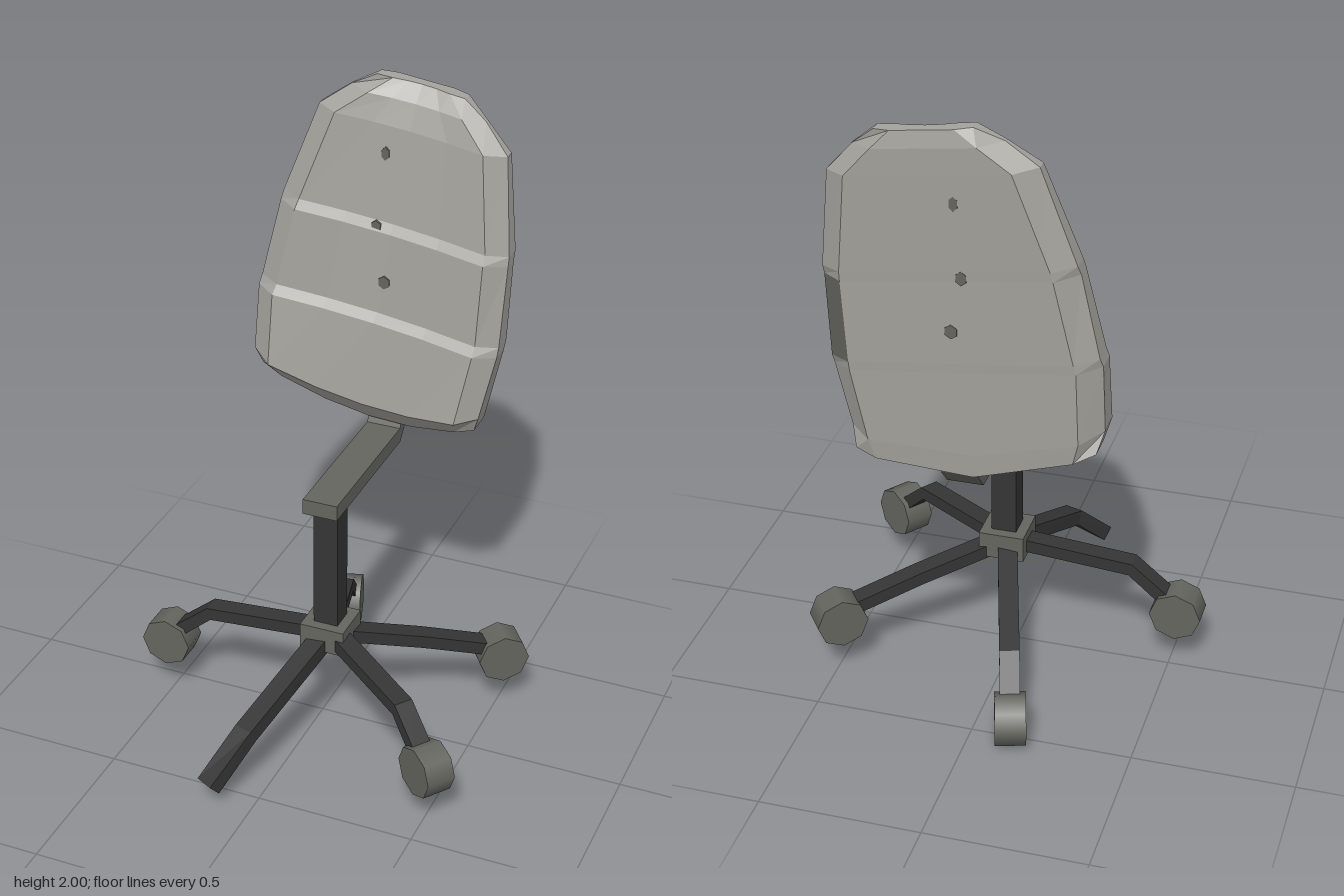
import * as THREE from 'three';

const V = (x, y, z) => new THREE.Vector3(x, y, z);
const mat = (name, color, side = THREE.FrontSide) => {
  const m = new THREE.MeshStandardMaterial({ color, side });
  m.name = name;
  return m;
};

// Rectangular bar swept along a short path, mitred at the bends
function barGeometry(points, width, height) {
  const n = points.length - 1;
  const geo = new THREE.BoxGeometry(1, 1, 1, 1, 1, n);
  const pos = geo.attributes.position;
  const frames = points.map((p, i) => {
    const dir = points[Math.min(i + 1, n)].clone().sub(points[Math.max(i - 1, 0)]).normalize();
    const side = V(0, 1, 0).cross(dir).normalize();
    return { p, side, up: dir.clone().cross(side) };
  });
  for (let i = 0; i < pos.count; i++) {
    const f = frames[Math.round((pos.getZ(i) + 0.5) * n)];
    const q = f.p.clone()
      .addScaledVector(f.side, pos.getX(i) * width)
      .addScaledVector(f.up, pos.getY(i) * height);
    pos.setXYZ(i, q.x, q.y, q.z);
  }
  const flat = geo.toNonIndexed();
  flat.computeVertexNormals();
  return flat;
}

// Cushion rows from bottom to top: height, left x, right x, sag, front z, back z, rim depth
const ROWS = [
  [0.97, -0.365, 0.355, 0.08, -0.355, -0.475, 0.015],
  [1.03, -0.382, 0.375, 0.065, -0.29, -0.482, 0.055],
  [1.245, -0.377, 0.418, 0, -0.318, -0.497, 0.055],
  [1.275, -0.37, 0.42, 0, -0.338, -0.5, 0.045],
  [1.54, -0.315, 0.43, 0, -0.355, -0.517, 0.055],
  [1.57, -0.308, 0.43, 0, -0.372, -0.52, 0.045],
  [1.87, -0.205, 0.4, 0, -0.405, -0.54, 0.05],
  [1.95, -0.11, 0.32, 0, -0.43, -0.545, 0.05],
  [2.0, -0.03, 0.25, 0, -0.47, -0.537, 0.015],
];
const TILT = 0.13;

// Closed cross-section of the cushion: front left to right, then back right to left
function cushionLoop([v, xl, xr, sag, zf, zb, rim]) {
  const mid = (xl + xr) / 2, half = (xr - xl) / 2;
  const inset = Math.min(0.065, half * 0.35);
  const a = xl + inset, b = xr - inset;
  const at = (x, z, hollow = 0) => {
    const k = 1 - ((x - mid) / half) ** 2;
    return V(x, v - TILT * x - sag * k, z - hollow * k);
  };
  const front = [0, 0.25, 0.5, 0.75, 1].map((t) => at(a + (b - a) * t, zf, 0.03));
  return [
    at(xl, zf - rim), ...front, at(xr, zf - rim),
    at(xr, zb + rim), at(b, zb), at(mid, zb), at(a, zb), at(xl, zb + rim),
  ];
}

function cushionGeometry() {
  const loops = ROWS.map(cushionLoop);
  const n = loops[0].length, main = [], trim = [];
  for (let i = 0; i < loops.length - 1; i++) {
    for (let j = 0; j < n; j++) {
      const k = (j + 1) % n;
      const a = loops[i][j], b = loops[i][k], c = loops[i + 1][k], d = loops[i + 1][j];
      // a stretch of bare shell shows on the rear left edge
      (j === 7 && i === 3 ? trim : main).push(a, b, c, a, c, d);
    }
  }
  const cap = (loop, flip) => {
    const c = loop.reduce((s, p) => s.add(p), V(0, 0, 0)).divideScalar(n);
    loop.forEach((p, j) => {
      const q = loop[(j + 1) % n];
      main.push(...(flip ? [c, q, p] : [c, p, q]));
    });
  };
  cap(loops[0], true);
  cap(loops[loops.length - 1], false);
  const geo = new THREE.BufferGeometry().setFromPoints([...main, ...trim]);
  geo.addGroup(0, main.length, 0);
  geo.addGroup(main.length, trim.length, 1);
  geo.computeVertexNormals();
  return geo;
}

export function createModel() {
  const fabric = mat('light grey fabric', 0xa5a39d);
  const metal = mat('mid grey plastic', 0x65655f);
  const dark = mat('dark metal', 0x353535);
  const model = new THREE.Group();
  model.name = 'swivelChair';

  const add = (name, geo, material, x = 0, y = 0, z = 0, parent = model) => {
    const mesh = new THREE.Mesh(geo, material);
    mesh.name = name;
    mesh.position.set(x, y, z);
    parent.add(mesh);
    return mesh;
  };

  // Column and hub
  const C = 0.045;
  add('post', new THREE.BoxGeometry(0.08, 0.46, 0.078), dark, C, 0.57, C);
  add('hub', new THREE.BoxGeometry(0.145, 0.085, 0.145), metal, C, 0.357, C);

  // Legs: heading in degrees, then [distance, height] along the leg, wheel distance and height
  const legs = [
    { heading: 180, path: [[0.04, 0.35], [0.41, 0.32], [0.535, 0.215]], wheel: [0.56, 0.18] },
    { heading: 36, path: [[0.04, 0.34], [0.3, 0.277], [0.535, 0.21]], wheel: [0.563, 0.18] },
    { heading: -36, path: [[0.04, 0.35], [0.42, 0.318], [0.535, 0.215]], wheel: [0.56, 0.18] },
    { heading: 107, path: [[0.04, 0.34], [0.455, 0.222], [0.56, 0.13]], wheel: [0.59, 0.083] },
  ];
  legs.forEach(({ heading, path, wheel }) => {
    const leg = new THREE.Group();
    leg.name = 'legAndCaster';
    leg.position.set(C, 0, C);
    leg.rotation.y = THREE.MathUtils.degToRad(heading);
    model.add(leg);
    add('leg', barGeometry(path.map(([t, y]) => V(t, y, 0)), 0.062, 0.042), dark, 0, 0, 0, leg);
    const geo = new THREE.CylinderGeometry(0.082, 0.082, 0.095, 8).rotateX(Math.PI / 2);
    add('casterWheel', geo, metal, wheel[0], wheel[1], 0, leg);
  });

  // Front leg, bent sideways and without a caster
  add('frontLeg', barGeometry(
    [V(0.035, 0.34, 0.08), V(-0.062, 0.2, 0.455), V(-0.13, 0.07, 0.585)], 0.062, 0.05), dark);

  // Flat support bar that bends up into the backrest
  add('backSupport', barGeometry(
    [V(C, 0.84, 0.13), V(C, 0.84, -0.39), V(C, 0.885, -0.425), V(C, 0.98, -0.445)], 0.112, 0.05), metal);

  // Backrest cushion
  add('backrest', cushionGeometry(), [fabric, metal]);

  // Small bolt marks on both faces
  [[0.025, 1.78, -0.423], [0.01, 1.55, -0.391], [0.045, 1.375, -0.375]].forEach(([x, y, z], i) => {
    const disc = () => new THREE.CylinderGeometry(1, 1, 0.008, 6)
      .rotateX(Math.PI / 2).scale(0.014 + 0.003 * i, 0.022, 1);
    add('frontBolt', disc(), metal, x, y, z);
    add('backBolt', disc(), metal, x, y, -0.417 - 0.0645 * y);
  });
  return model;
}
